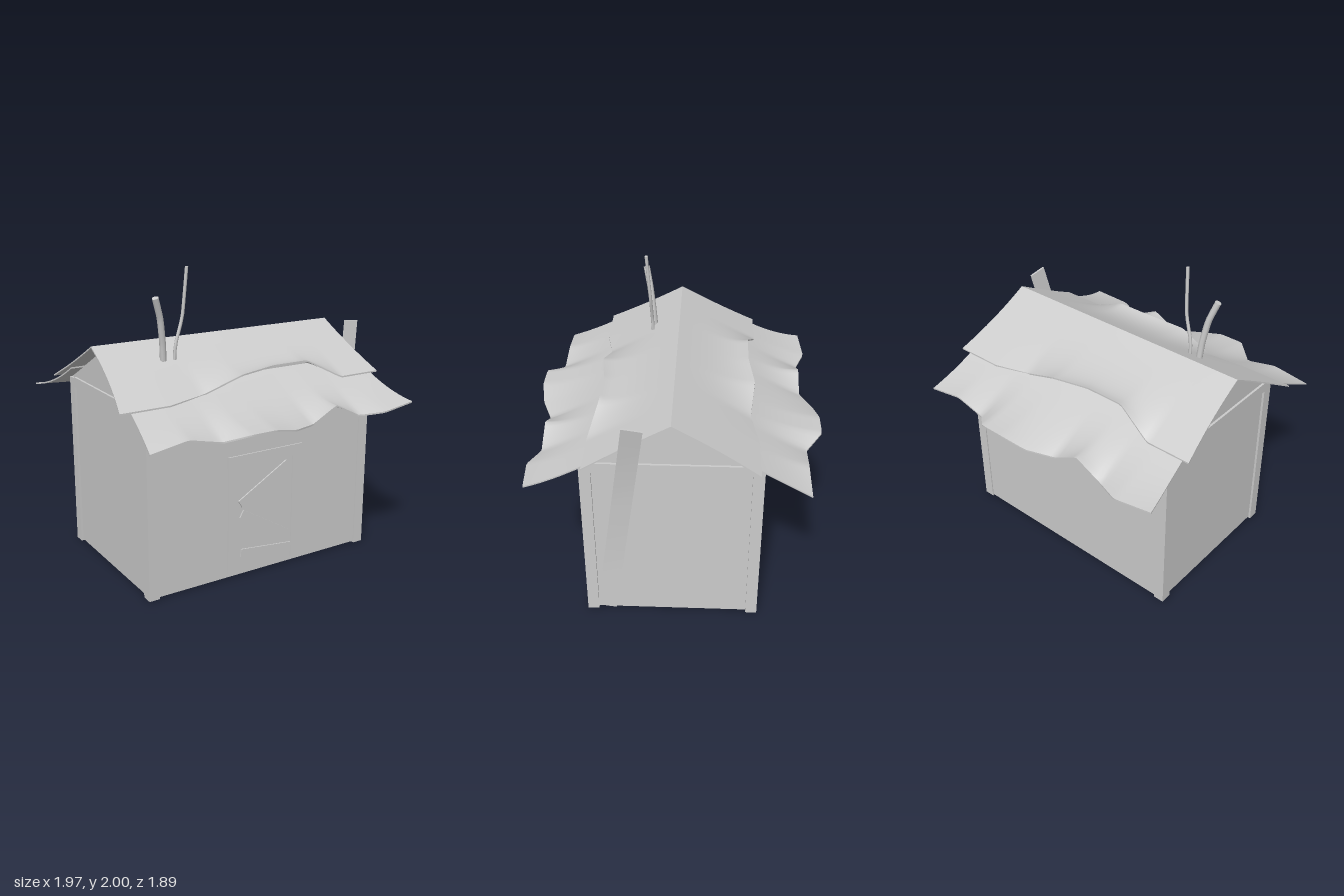
import * as THREE from 'three';

const material = new THREE.MeshStandardMaterial({ color: 0xcccccc, side: THREE.DoubleSide });

function add(parent, name, geometry) {
  const mesh = new THREE.Mesh(geometry, material);
  mesh.name = name;
  parent.add(mesh);
  return mesh;
}

// Box given by its extents on each axis
function block(parent, name, x0, x1, y0, y1, z0, z1) {
  const mesh = add(parent, name, new THREE.BoxGeometry(x1 - x0, y1 - y0, z1 - z0));
  mesh.position.set((x0 + x1) / 2, (y0 + y1) / 2, (z0 + z1) / 2);
  return mesh;
}

// Linear interpolation through rows of [x, y, z]; k picks the column
function along(keys, x, k) {
  let i = 0;
  while (i < keys.length - 2 && x > keys[i + 1][0]) i++;
  const [a, b] = [keys[i], keys[i + 1]];
  const t = THREE.MathUtils.clamp((x - a[0]) / (b[0] - a[0]), 0, 1);
  return a[k] + (b[k] - a[k]) * t;
}

// Thin roof sheet on the pitch, warped toward its ragged lower edge
const pitch = z => 1.52 - 0.547 * z;
function roofSheet({ z0, z1, drop, half, flareL, flareR, edge }) {
  const geometry = new THREE.BoxGeometry(1, 1, 1, 64, 1, 16);
  const p = geometry.attributes.position;
  for (let i = 0; i < p.count; i++) {
    const u = p.getX(i) + 0.5, v = p.getZ(i) + 0.5;
    const thickness = p.getY(i) > 0 ? 0 : 0.01;
    const left = -half - flareL * v * v, right = half + flareR * v * v;
    const x = left + (right - left) * u;
    const z = z0 + (z1 - z0) * v, w = v ** 3;
    const lift = along(edge, x, 1) - pitch(z1);
    p.setXYZ(i, x, pitch(z) + lift * w - drop * (1 - w) - thickness,
      z + (along(edge, x, 2) - z1) * w);
  }
  geometry.computeVertexNormals();
  return geometry;
}

const upperSheet = {
  z0: 0, z1: 0.53, drop: 0, half: 0.915, flareL: 0.07, flareR: 0.045,
  edge: [[-0.99, 1.23, 0.53], [-0.65, 1.23, 0.53], [-0.39, 1.25, 0.48], [-0.13, 1.345, 0.51],
    [0.13, 1.365, 0.475], [0.4, 1.365, 0.475], [0.65, 1.235, 0.53], [0.97, 1.235, 0.53]],
};
const lowerSheet = {
  z0: 0.36, z1: 0.84, drop: 0.012, half: 0.905, flareL: 0.05, flareR: 0.06,
  edge: [[-0.96, 1.07, 0.84], [-0.7, 1.11, 0.835], [-0.48, 1.06, 0.84], [-0.35, 1.11, 0.945],
    [-0.17, 1.11, 0.945], [0, 1.075, 0.915], [0.18, 1.06, 0.84], [0.36, 1.155, 0.84],
    [0.55, 1.06, 0.84], [0.71, 1.075, 0.905], [0.97, 1.1, 0.88]],
};

// Bent stovepipe with flat ends
function pipe(parent, name, radius, points) {
  const path = new THREE.CurvePath();
  const v = points.map(q => new THREE.Vector3(...q));
  for (let i = 1; i < v.length; i++) path.add(new THREE.LineCurve3(v[i - 1], v[i]));
  const curve = new THREE.CatmullRomCurve3(v, false, 'catmullrom', 0.2);
  add(parent, name, new THREE.TubeGeometry(curve, 10, radius, 8));
  const cap = add(parent, name + 'Cap', new THREE.CircleGeometry(radius, 8));
  cap.position.copy(v[v.length - 1]);
  cap.quaternion.setFromUnitVectors(new THREE.Vector3(0, 0, 1), curve.getTangent(1));
}

export function createModel() {
  const model = new THREE.Group();
  model.name = 'shed';
  const X0 = -0.835, X1 = 0.868, Z = 0.56, P = 0.073;

  // Walls, open underneath
  const walls = new THREE.Group();
  walls.name = 'walls';
  model.add(walls);
  for (const s of [1, -1]) {
    const wall = add(walls, s > 0 ? 'frontWall' : 'backWall',
      new THREE.PlaneGeometry(X1 - X0 - 0.03, 1.19));
    wall.position.set((X0 + X1) / 2, 0.605, s * (Z - 0.007));
    if (s < 0) wall.rotation.y = Math.PI;
  }
  const gable = new THREE.Shape([[-0.553, 0.01], [0.553, 0.01], [0.553, 1.2], [0, 1.495], [-0.553, 1.2]]
    .map(q => new THREE.Vector2(...q)));
  for (const s of [1, -1]) {
    const wall = add(walls, s > 0 ? 'leftGable' : 'rightGable', new THREE.ShapeGeometry(gable));
    wall.rotation.y = s * Math.PI / 2;
    wall.position.x = s > 0 ? X1 - 0.015 : X0 + 0.015;
  }

  // Corner posts and gable beams
  for (const x of [X0, X1 - P]) {
    for (const z of [-Z, Z - P]) block(model, 'cornerPost', x, x + P, 0, 1.2, z, z + P);
    block(model, 'gableBeam', x, x + P, 1.137, 1.207, -Z + P, Z - P);
  }

  // Door frame and the boards nailed across it
  const door = new THREE.Group();
  door.name = 'door';
  model.add(door);
  for (const x of [-0.26, 0.24]) block(door, 'doorPost', x, x + P, 0.035, 0.765, Z - P, Z);
  block(door, 'doorLintel', -0.263, 0.314, 0.762, 0.836, Z - P, Z + 0.002);
  for (const [x, y, length, angle] of [[0.018, 0.61, 0.43, 30], [0.023, 0.327, 0.42, -31], [0.037, 0.138, 0.4, -6]]) {
    const board = add(door, 'doorBoard', new THREE.BoxGeometry(length, 0.056, 0.016));
    board.position.set(x, y, 0.554);
    board.rotation.z = THREE.MathUtils.degToRad(angle);
  }

  // Roof: the rear slope is the front slope turned half round
  for (const s of [0, 1]) {
    const slope = new THREE.Group();
    slope.name = s ? 'backRoof' : 'frontRoof';
    slope.rotation.y = s * Math.PI;
    add(slope, 'upperSheet', roofSheet(upperSheet));
    add(slope, 'lowerSheet', roofSheet(lowerSheet));
    model.add(slope);
  }

  // Bowed plank leaning on the side
  const plankGeometry = new THREE.BoxGeometry(0.014, 1.51, 0.125, 1, 12, 1);
  const p = plankGeometry.attributes.position;
  const bow = [[0.02, 0.862], [0.4, 0.86], [0.64, 0.868], [1, 0.892], [1.25, 0.925], [1.53, 0.977]];
  for (let i = 0; i < p.count; i++) {
    const t = p.getY(i) / 1.51 + 0.5, across = p.getZ(i);
    const y = 0.025 + t * 1.505;
    p.setXYZ(i, p.getX(i) + along(bow, y, 1), y + across * 0.15, 0.432 - 0.214 * t + across);
  }
  plankGeometry.computeVertexNormals();
  add(model, 'leaningPlank', plankGeometry);

  // Crooked pipes through the roof
  pipe(model, 'widePipe', 0.022, [[-0.507, 1.415, 0.18], [-0.515, 1.53, 0.19], [-0.54, 1.69, 0.21], [-0.585, 1.825, 0.237]]);
  pipe(model, 'thinPipe', 0.011, [[-0.43, 1.415, 0.188], [-0.425, 1.51, 0.192], [-0.377, 1.69, 0.2], [-0.355, 2, 0.221]]);
  return model;
}
